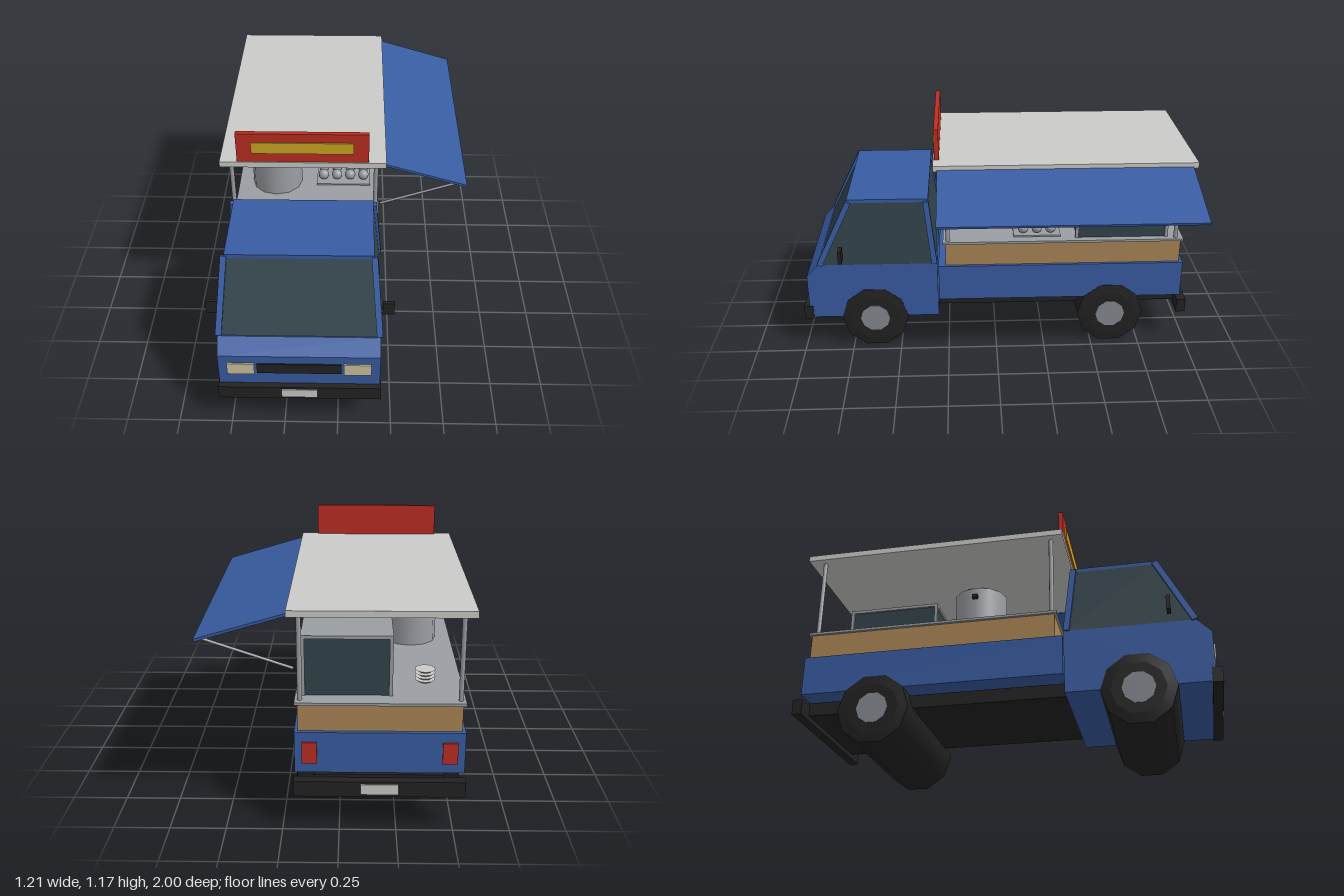
import * as THREE from 'three';

const mat = (name, color) => Object.assign(new THREE.MeshStandardMaterial({ color }), { name });

export function createModel() {
  const blue = mat('blue paint', 0x385ca2), glass = mat('dark glass', 0x32434b);
  const black = mat('black rubber', 0x222222), red = mat('red', 0xbc2e23);
  const yellow = mat('yellow', 0xcba724), wood = mat('wood', 0xaa8655);
  const cream = mat('headlight cream', 0xcdc4a0), pale = mat('pale grey', 0xcbcbc8);
  const steel = mat('steel', 0x9b9ea3), hubGrey = mat('hub grey', 0x858a90);

  const root = new THREE.Group();
  root.name = 'foodTruck';
  const truck = new THREE.Group(); // x = 0 here is the middle of the vehicle
  truck.name = 'truck';
  truck.position.x = -0.175;
  root.add(truck);

  const add = (name, geo, material, x = 0, y = 0, z = 0) => {
    const m = new THREE.Mesh(geo, material);
    m.name = name;
    m.position.set(x, y, z);
    truck.add(m);
    return m;
  };
  // Box given by its ranges on each axis
  const box = (name, material, [x0, x1], [y0, y1], [z0, z1]) =>
    add(name, new THREE.BoxGeometry(x1 - x0, y1 - y0, z1 - z0), material,
      (x0 + x1) / 2, (y0 + y1) / 2, (z0 + z1) / 2);
  // Square or round bar between two points
  const bar = (name, material, a, b, w, round = false) => {
    const p = new THREE.Vector3(...a), q = new THREE.Vector3(...b), d = q.clone().sub(p);
    const geo = round ? new THREE.CylinderGeometry(w / 2, w / 2, d.length(), 8)
      : new THREE.BoxGeometry(w, d.length(), w);
    const m = add(name, geo, material);
    m.position.copy(p).add(q).multiplyScalar(0.5);
    m.quaternion.setFromUnitVectors(new THREE.Vector3(0, 1, 0), d.normalize());
    return m;
  };
  const sides = [-1, 1];

  // Cab lower body: side profile extruded across the width
  const profile = new THREE.Shape([[0.3, 0.17], [0.967, 0.17], [0.967, 0.41], [0.905, 0.475], [0.3, 0.475]]
    .map(([z, y]) => new THREE.Vector2(-z, y)));
  const cabGeo = new THREE.ExtrudeGeometry(profile, { depth: 0.74, bevelEnabled: false });
  cabGeo.translate(0, 0, -0.37).rotateY(Math.PI / 2);
  add('cabBody', cabGeo, blue);

  // Cab glass: a box tapered towards the roof
  const cabin = new THREE.BoxGeometry(2, 1, 2);
  const p = cabin.attributes.position;
  for (let i = 0; i < p.count; i++) {
    const top = p.getY(i) > 0, front = p.getZ(i) > 0;
    p.setXYZ(i, Math.sign(p.getX(i)) * (top ? 0.335 : 0.37), top ? 0.802 : 0.474,
      top ? (front ? 0.735 : 0.345) : (front ? 0.9 : 0.308));
  }
  cabin.computeVertexNormals();
  add('cabGlass', cabin, glass);
  box('cabRoof', blue, [-0.335, 0.335], [0.8, 0.82], [0.338, 0.742]);
  for (const s of sides) {
    bar('frontPillar', blue, [s * 0.366, 0.475, 0.897], [s * 0.337, 0.808, 0.734], 0.028);
    bar('rearPillar', blue, [s * 0.366, 0.475, 0.314], [s * 0.337, 0.808, 0.35], 0.028);
    box('mirror', black, [s * 0.405 - 0.027, s * 0.405 + 0.027], [0.512, 0.58], [0.775, 0.793]);
    box('headlight', cream, [s * 0.267 - 0.062, s * 0.267 + 0.062], [0.302, 0.367], [0.96, 0.975]);
    box('tailLight', red, [s * 0.305 - 0.033, s * 0.305 + 0.033], [0.31, 0.41], [-0.968, -0.955]);
  }
  box('grille', black, [-0.193, 0.193], [0.307, 0.365], [0.96, 0.973]);

  // Bumpers and blank plates at both ends
  for (const s of sides) {
    const range = (a, b) => [Math.min(s * a, s * b), Math.max(s * a, s * b)];
    box('bumper', black, [-0.375, 0.375], [0.163, 0.236], range(0.948, 0.995));
    box('plate', pale, [-0.083, 0.083], [0.176, 0.225], range(0.993, 1));
  }

  // Load bed, chassis, counter
  box('bed', blue, [-0.37, 0.37], [0.263, 0.455], [-0.96, 0.295]);
  box('chassis', black, [-0.285, 0.285], [0.186, 0.251], [-0.955, 0.295]);
  box('counterBody', wood, [-0.355, 0.355], [0.455, 0.578], [-0.942, 0.258]);
  box('counterTop', steel, [-0.368, 0.368], [0.578, 0.59], [-0.953, 0.27]);

  // Full-width wheel drums with hubs
  for (const z of [0.63, -0.597]) {
    add('wheel', new THREE.CylinderGeometry(0.172, 0.172, 0.744, 10), black, 0, 0.164, z).rotation.z = -Math.PI / 2;
    for (const s of sides) {
      add('wheelFace', new THREE.CylinderGeometry(0.125, 0.17, 0.007, 10), black, s * 0.3755, 0.164, z).rotation.z = -s * Math.PI / 2;
      add('hub', new THREE.CylinderGeometry(0.076, 0.076, 0.008, 10), hubGrey, s * 0.379, 0.164, z).rotation.z = -s * Math.PI / 2;
    }
  }

  // Canopy: posts, roof, awning with struts
  for (const z of [0.245, -0.915]) {
    for (const s of sides) bar('post', steel, [s * 0.346, 0.585, z], [s * 0.346, 0.99, z], 0.022, true);
    bar('awningStrut', steel, [0.37, 0.735, z], [0.755, 0.868, z], 0.013, true);
  }
  box('canopyRoof', pale, [-0.393, 0.393], [0.987, 1.016], [-0.985, 0.308]);
  const awning = add('awning', new THREE.BoxGeometry(0.404, 0.012, 1.248), blue, 0.586, 0.932, -0.336);
  awning.rotation.z = -Math.atan2(0.115, 0.385);

  // Roof sign
  box('signBoard', red, [-0.31, 0.31], [1.016, 1.17], [0.279, 0.302]);
  box('signPanel', yellow, [-0.24, 0.24], [1.065, 1.124], [0.302, 0.308]);

  // Glass display cabinet with steel frame
  box('cabinetGlass', glass, [-0.045, 0.332], [0.59, 0.854], [-0.867, -0.413]);
  box('cabinetTop', steel, [-0.055, 0.341], [0.852, 0.867], [-0.876, -0.404]);
  for (const x of [-0.047, 0.333]) for (const z of [-0.868, -0.412])
    bar('cabinetPost', steel, [x, 0.59, z], [x, 0.855, z], 0.016);
  box('cabinetPanel', red, [0.33, 0.338], [0.785, 0.845], [-0.81, -0.475]);

  // Cooking pot with lid and handles
  add('pot', new THREE.CylinderGeometry(0.13, 0.13, 0.205, 12), steel, -0.165, 0.692, -0.14);
  add('potLid', new THREE.CylinderGeometry(0.118, 0.118, 0.01, 10), wood, -0.165, 0.798, -0.14);
  for (const s of sides)
    box('potHandle', black, [-0.165 + s * 0.135 - 0.016, -0.165 + s * 0.135 + 0.016], [0.732, 0.75], [-0.152, -0.126]);

  // Tray of round buns
  box('tray', steel, [0.045, 0.325], [0.594, 0.602], [-0.33, -0.09]);
  const bun = new THREE.SphereGeometry(0.028, 10, 8);
  for (let i = 0; i < 4; i++) for (let j = 0; j < 3; j++)
    add('bun', bun, steel, 0.08 + i * 0.07, 0.63, -0.14 - j * 0.07);

  // Stack of plates
  for (let i = 0; i < 4; i++)
    add('dish', new THREE.CylinderGeometry(0.047, 0.03, 0.012, 10), pale, -0.205, 0.597 + i * 0.016, -0.71);

  return root;
}
